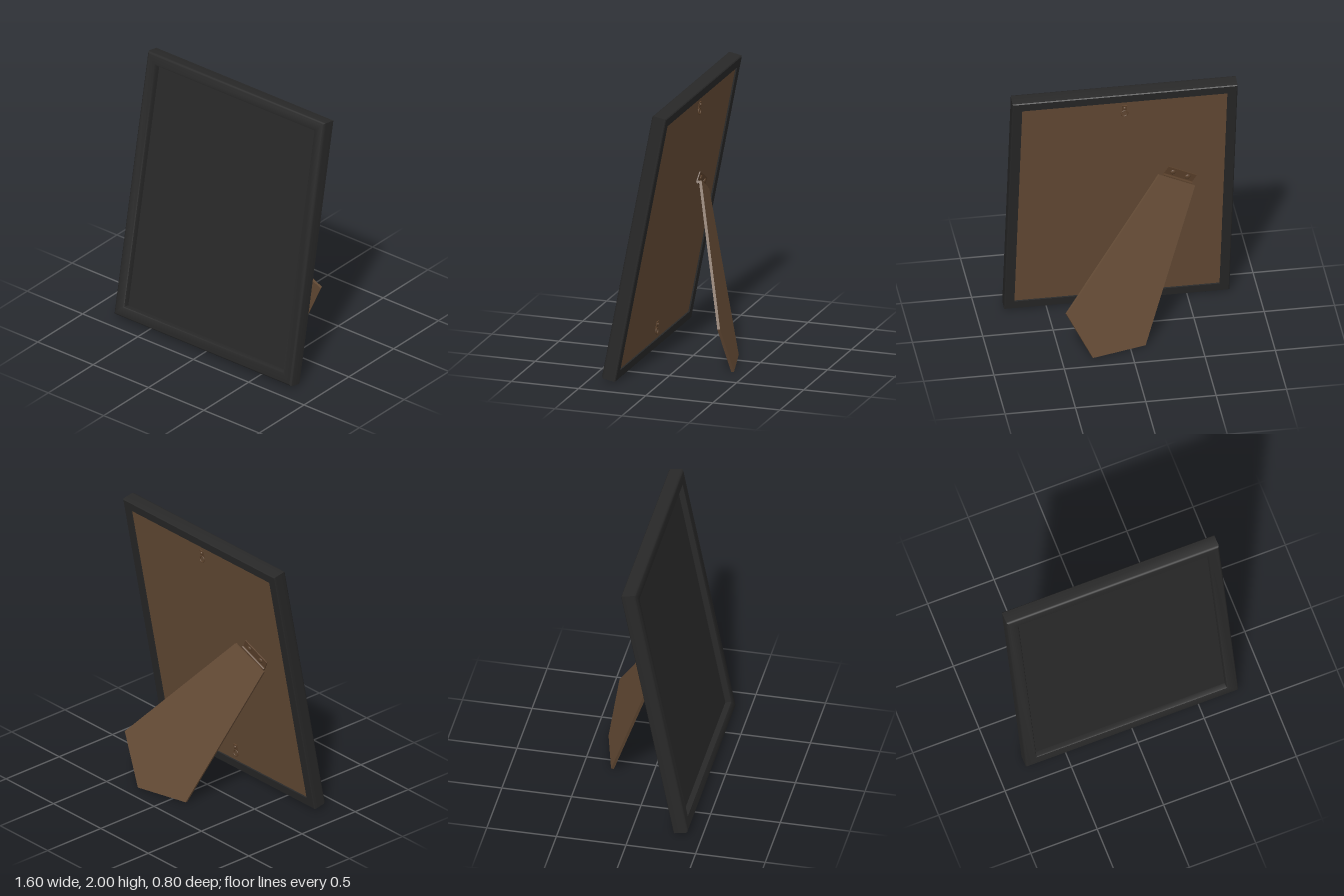
import * as THREE from 'three';
import { toCreasedNormals } from 'three/addons/utils/BufferGeometryUtils.js';

const W = 1.6, H = 2.006, TILT = 0.19;

// Mitred frame: one moulding profile carried round the four corners
function mouldingGeometry() {
  // [inset from outer edge, depth], from outer back round to inner back
  const profile = [[0, -0.047], [0, 0.036], [0.004, 0.047], [0.014, 0.053], [0.072, 0.053],
    [0.081, 0.049], [0.085, 0.04], [0.085, 0], [0.07, 0], [0.07, -0.053], [0.006, -0.053]];
  const corners = [[-1, -1], [1, -1], [1, 1], [-1, 1]];
  const at = ([sx, sy], [inset, z]) => [sx * (W / 2 - inset), H / 2 + sy * (H / 2 - inset), z];
  const pos = [];
  corners.forEach((c0, i) => {
    const c1 = corners[(i + 1) % 4];
    profile.forEach((p, j) => {
      const q = profile[(j + 1) % profile.length];
      const a = at(c0, p), b = at(c1, p), c = at(c1, q), d = at(c0, q);
      pos.push(...a, ...b, ...c, ...a, ...c, ...d);
    });
  });
  const geo = new THREE.BufferGeometry();
  geo.setAttribute('position', new THREE.Float32BufferAttribute(pos, 3));
  return toCreasedNormals(geo, 0.7);
}

export function createModel() {
  const black = new THREE.MeshStandardMaterial({ color: 0x282828 });
  black.name = 'black';
  const brown = new THREE.MeshStandardMaterial({ color: 0x664c36 });
  brown.name = 'brown board';
  const metal = new THREE.MeshStandardMaterial({ color: 0x5c422c });
  metal.name = 'bronze metal';

  const model = new THREE.Group();
  model.name = 'pictureFrame';

  const add = (parent, name, geo, mat, x = 0, y = 0, z = 0) => {
    const mesh = new THREE.Mesh(geo, mat);
    mesh.name = name;
    mesh.position.set(x, y, z);
    parent.add(mesh);
    return mesh;
  };

  // Leaning frame, pivoted at its bottom edge
  const frame = new THREE.Group();
  frame.name = 'frame';
  frame.position.set(0, 0.02, 0.35);
  frame.rotation.x = -TILT;
  model.add(frame);
  add(frame, 'moulding', mouldingGeometry(), black);
  add(frame, 'picturePanel', new THREE.BoxGeometry(W - 0.15, H - 0.15, 0.008), black, 0, H / 2, 0.004);
  add(frame, 'backBoard', new THREE.BoxGeometry(W - 0.138, H - 0.138, 0.042), brown, 0, H / 2, -0.021);

  // Hangers on the back board: a tab, a screw and a ring
  for (const y of [1.87, 0.19]) {
    const hanger = new THREE.Group();
    hanger.name = 'hanger';
    hanger.position.set(0, y, -0.045);
    frame.add(hanger);
    add(hanger, 'hangerTab', new THREE.BoxGeometry(0.034, 0.055, 0.008), metal);
    add(hanger, 'hangerScrew', new THREE.SphereGeometry(0.011, 12, 8), metal, 0, 0.008, -0.004);
    const ring = add(hanger, 'hangerRing', new THREE.TorusGeometry(0.022, 0.005, 8, 20), metal, 0, -0.042, -0.008);
    ring.rotation.x = 0.2;
  }

  // Hinge plate on the board, above the top edge of the leg
  const hinge = new THREE.Group();
  hinge.name = 'hinge';
  hinge.position.set(-0.415, 1.175, -0.046);
  hinge.rotation.z = 0.49;
  frame.add(hinge);
  add(hinge, 'hingePlate', new THREE.BoxGeometry(0.23, 0.075, 0.008), metal);
  const knuckle = add(hinge, 'hingeKnuckle', new THREE.CylinderGeometry(0.011, 0.011, 0.23, 12), metal, 0, -0.038, -0.008);
  knuckle.rotation.z = Math.PI / 2;
  for (const s of [-1, 1]) {
    const screw = add(hinge, 'hingeScrew', new THREE.SphereGeometry(0.02, 14, 8), metal, s * 0.06, 0.003, -0.004);
    screw.scale.z = 0.5;
  }

  // Support leg: five-sided board lying in a slanted plane
  const pts = [[-0.52, 1.07, 0.065], [-0.11, 0.006, -0.3], [0.28, 0.006, -0.4],
    [0.46, 0.37, -0.37], [-0.26, 1.21, 0.03]].map(p => new THREE.Vector3(...p));
  const origin = pts[0];
  const u = pts[4].clone().sub(origin).normalize();
  const n = u.clone().cross(pts[1].clone().sub(origin)).normalize();
  const v = n.clone().cross(u);
  const outline = pts.map(p => {
    const d = p.clone().sub(origin);
    return new THREE.Vector2(d.dot(u), d.dot(v));
  });
  const leg = new THREE.Group();
  leg.name = 'leg';
  leg.position.copy(origin);
  leg.quaternion.setFromRotationMatrix(new THREE.Matrix4().makeBasis(u, v, n));
  model.add(leg);
  const legBoard = new THREE.ExtrudeGeometry(new THREE.Shape(outline), { depth: 0.02, bevelEnabled: false });
  add(leg, 'legBoard', legBoard, brown, 0, 0, -0.02);

  // Hinge leaf on the underside of the leg
  const side = Math.sign(outline[1].y);
  add(leg, 'hingeLeaf', new THREE.BoxGeometry(0.22, 0.06, 0.006), metal, outline[4].x / 2, side * 0.035, -0.022);

  return model;
}
